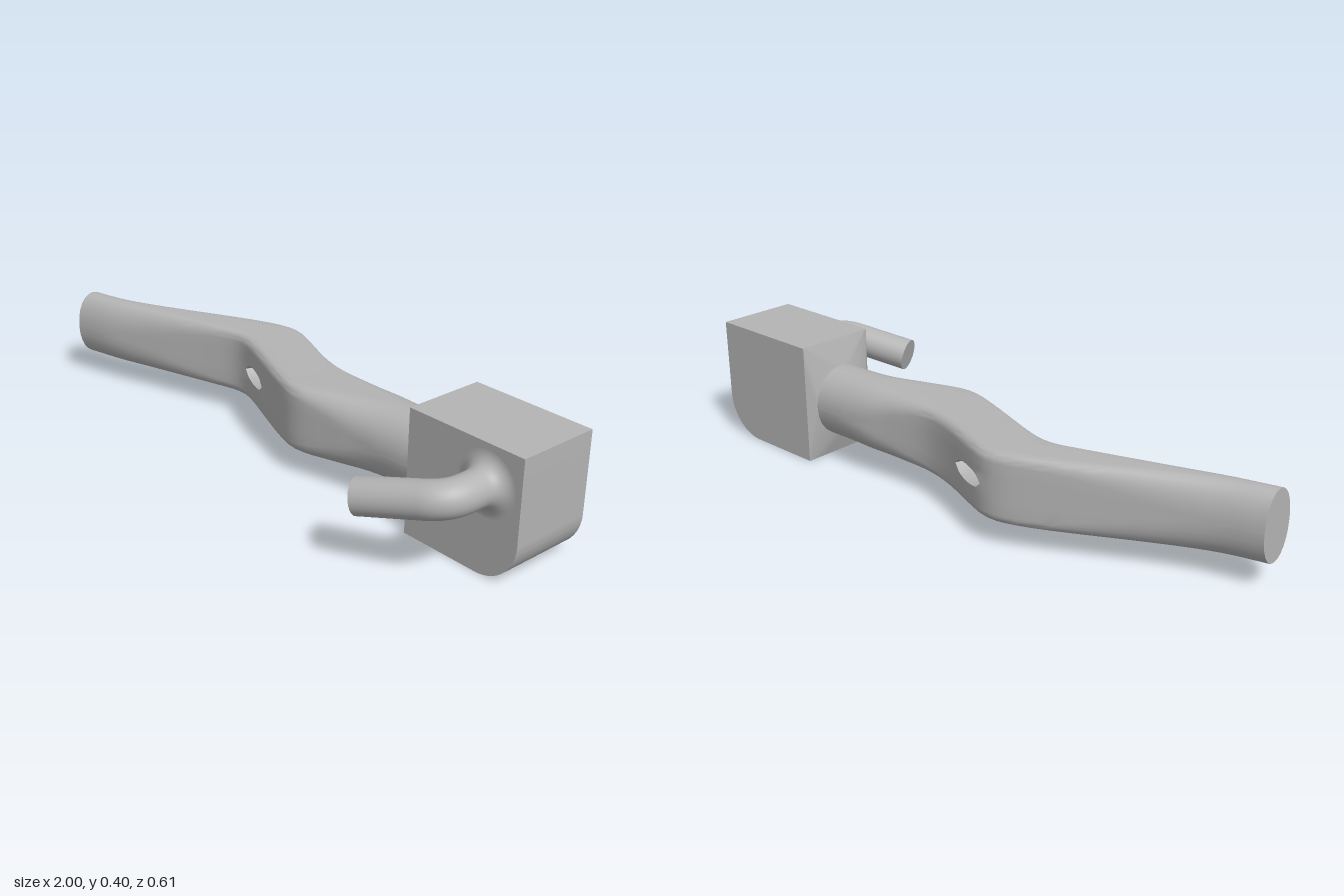
import * as THREE from 'three';
import { toCreasedNormals } from 'three/addons/utils/BufferGeometryUtils.js';

const RING = 40, STEPS = 48, X0 = -1, X1 = 0.57, MID_Y = 0.194;
const DX = (X1 - X0) / STEPS;

// Front and back outlines of the arm, as [x, z]
const FRONT = [[-1, 0.105], [-0.86, 0.068], [-0.72, 0.015], [-0.4, -0.105], [-0.33, -0.116], [-0.26, -0.1],
  [0.015, 0.005], [0.12, 0.03], [0.25, 0.01], [0.38, -0.013], [0.57, -0.02]];
const BACK = [[-1, -0.025], [-0.86, -0.06], [-0.72, -0.115], [-0.4, -0.262], [-0.3, -0.302], [-0.24, -0.308],
  [-0.18, -0.29], [0, -0.22], [0.11, -0.198], [0.25, -0.21], [0.38, -0.232], [0.57, -0.24]];

// Smooth curve through the outline points
function outline(p, x) {
  let i = 0;
  while (i < p.length - 2 && x > p[i + 1][0]) i++;
  const slope = (k) => {
    const a = p[Math.max(k - 1, 0)], b = p[Math.min(k + 1, p.length - 1)];
    return (b[1] - a[1]) / (b[0] - a[0]);
  };
  const d = p[i + 1][0] - p[i][0], t = (x - p[i][0]) / d, t2 = t * t, t3 = t2 * t;
  return (2 * t3 - 3 * t2 + 1) * p[i][1] + (t3 - 2 * t2 + t) * d * slope(i)
    + (3 * t2 - 2 * t3) * p[i + 1][1] + (t3 - t2) * d * slope(i + 1);
}

// Rounded-rectangle section at x; k = 1 is an ellipse, 0 a sharp rectangle
function section(x, zBack, zFront, yMid, h, k) {
  const w = (zFront - zBack) / 2, zMid = (zFront + zBack) / 2, c = 1 - k, pts = [];
  for (let j = 0; j < RING; j++) {
    const side = Math.floor(j / 10) * Math.PI / 2, i = j % 10;
    const a = (i - 4) / 6 * Math.PI / 2;
    const p = i <= 4 ? 1 : c + k * Math.cos(a);
    const q = i <= 4 ? c * (i / 2 - 1) : c + k * Math.sin(a);
    pts.push([x, yMid + h * (p * Math.sin(side) + q * Math.cos(side)),
      zMid + w * (p * Math.cos(side) - q * Math.sin(side))]);
  }
  return pts;
}

function armSection(x) {
  const s = THREE.MathUtils.smoothstep;
  const k = 0.96 - 0.69 * s(x, -0.95, -0.33) * (1 - s(x, 0.05, 0.5));
  const h = 0.111 + 0.008 * s(x, 0, 0.57) + 0.002 * s(-x, 0.3, 1);
  return section(x, outline(BACK, x), outline(FRONT, x), MID_Y, h, k);
}

function fromQuads(quads) {
  const pos = [];
  for (const [a, b, c, d] of quads) pos.push(...a, ...b, ...c, ...a, ...c, ...d);
  const g = new THREE.BufferGeometry();
  g.setAttribute('position', new THREE.Float32BufferAttribute(pos, 3));
  return toCreasedNormals(g, 0.6);
}

function loft(rings, skip = () => false) {
  const quads = [];
  for (let i = 0; i < rings.length - 1; i++) {
    for (let j = 0; j < RING; j++) {
      const n = (j + 1) % RING;
      if (!skip(i, j)) quads.push([rings[i][j], rings[i + 1][j], rings[i + 1][n], rings[i][n]]);
    }
  }
  return quads;
}

function armGeometry() {
  const rings = [];
  for (let i = 0; i <= STEPS; i++) rings.push(armSection(X0 + i * DX));
  // The slot passes square to the sloping middle, so its two mouths are offset
  const mouths = [{ i: 24, j: 2, edge: FRONT, up: 1 }, { i: 26, j: 22, edge: BACK, up: -1 }];
  const inPatch = (i, j) => mouths.some((m) => i >= m.i - 3 && i < m.i + 3 && j >= m.j - 1 && j < m.j + 1);
  const quads = loft(rings, inPatch);

  // Loop around a slot patch, as [station, row] offsets
  const loop = [];
  for (let d = -3; d <= 3; d++) loop.push([d, -1]);
  loop.push([3, 0]);
  for (let d = 3; d >= -3; d--) loop.push([d, 1]);
  loop.push([-3, 0]);

  const rim = (m, [di, dj]) => {
    const a = Math.atan2(dj, di / 3), x = X0 + m.i * DX + 0.077 * Math.cos(a);
    return [x, MID_Y + m.up * 0.028 * Math.sin(a), outline(m.edge, x)];
  };
  const flip = ([di, dj]) => [di, -dj];
  loop.forEach((p, n) => {
    const q = loop[(n + 1) % loop.length];
    for (const m of mouths) {
      quads.push([rings[m.i + p[0]][m.j + p[1]], rings[m.i + q[0]][m.j + q[1]], rim(m, q), rim(m, p)]);
    }
    // Slot wall
    const [f, b] = mouths;
    quads.push([rim(f, p), rim(f, q), rim(b, flip(q)), rim(b, flip(p))]);
  });

  // Flat end cap
  const first = rings[0], half = RING / 2;
  for (let j = 0; j < half - 1; j++) {
    quads.push([first[j], first[j + 1], first[RING - 2 - j], first[RING - 1 - j]]);
  }
  return fromQuads(quads);
}

export function createModel() {
  const group = new THREE.Group();
  const grey = new THREE.MeshStandardMaterial({ color: 0xb4b4b4 });
  grey.name = 'plain grey';
  const add = (name, geometry) => {
    const mesh = new THREE.Mesh(geometry, grey);
    mesh.name = name;
    group.add(mesh);
    return mesh;
  };

  add('arm', armGeometry());

  // Short flare from the round arm to the square block
  add('collar', fromQuads(loft([
    armSection(X1 - 0.006),
    section(0.59, -0.265, 0.01, 0.2, 0.2, 0.02),
  ])));

  // Block with one rounded lower edge
  const s = new THREE.Shape();
  s.moveTo(0.59, 0);
  s.lineTo(0.86, 0);
  s.absarc(0.86, 0.14, 0.14, -Math.PI / 2, 0, false);
  s.lineTo(1, 0.4);
  s.lineTo(0.59, 0.4);
  s.closePath();
  const block = new THREE.ExtrudeGeometry(s, { depth: 0.275, bevelEnabled: false, curveSegments: 16 });
  add('block', toCreasedNormals(block.translate(0, 0, -0.265), 0.5));

  // Bent peg
  const v = (x, y, z) => new THREE.Vector3(x, y, z);
  const root = v(0.88, 0.28, 0), bend = v(0.88, 0.28, 0.155), tip = v(0.64, 0.229, 0.253);
  const bendIn = v(0.88, 0.28, 0.09), bendOut = bend.clone().lerp(tip, 0.25);
  const path = new THREE.CurvePath();
  path.add(new THREE.LineCurve3(root, bendIn));
  path.add(new THREE.QuadraticBezierCurve3(bendIn, bend, bendOut));
  path.add(new THREE.LineCurve3(bendOut, tip));
  add('peg', new THREE.TubeGeometry(path, 48, 0.055, 32, false));

  const cap = add('pegEnd', new THREE.CircleGeometry(0.055, 32));
  cap.position.copy(tip);
  cap.quaternion.setFromUnitVectors(v(0, 0, 1), tip.clone().sub(bend).normalize());

  // Concave fillet where the peg meets the block
  const profile = [];
  for (let i = 0; i <= 10; i++) {
    const a = i / 10 * Math.PI / 2;
    profile.push(new THREE.Vector2(0.1 - 0.045 * Math.sin(a), 0.055 - 0.045 * Math.cos(a)));
  }
  const fillet = add('pegFillet', new THREE.LatheGeometry(profile, 32).rotateX(Math.PI / 2));
  fillet.position.set(0.88, 0.28, 0);

  return group;
}
